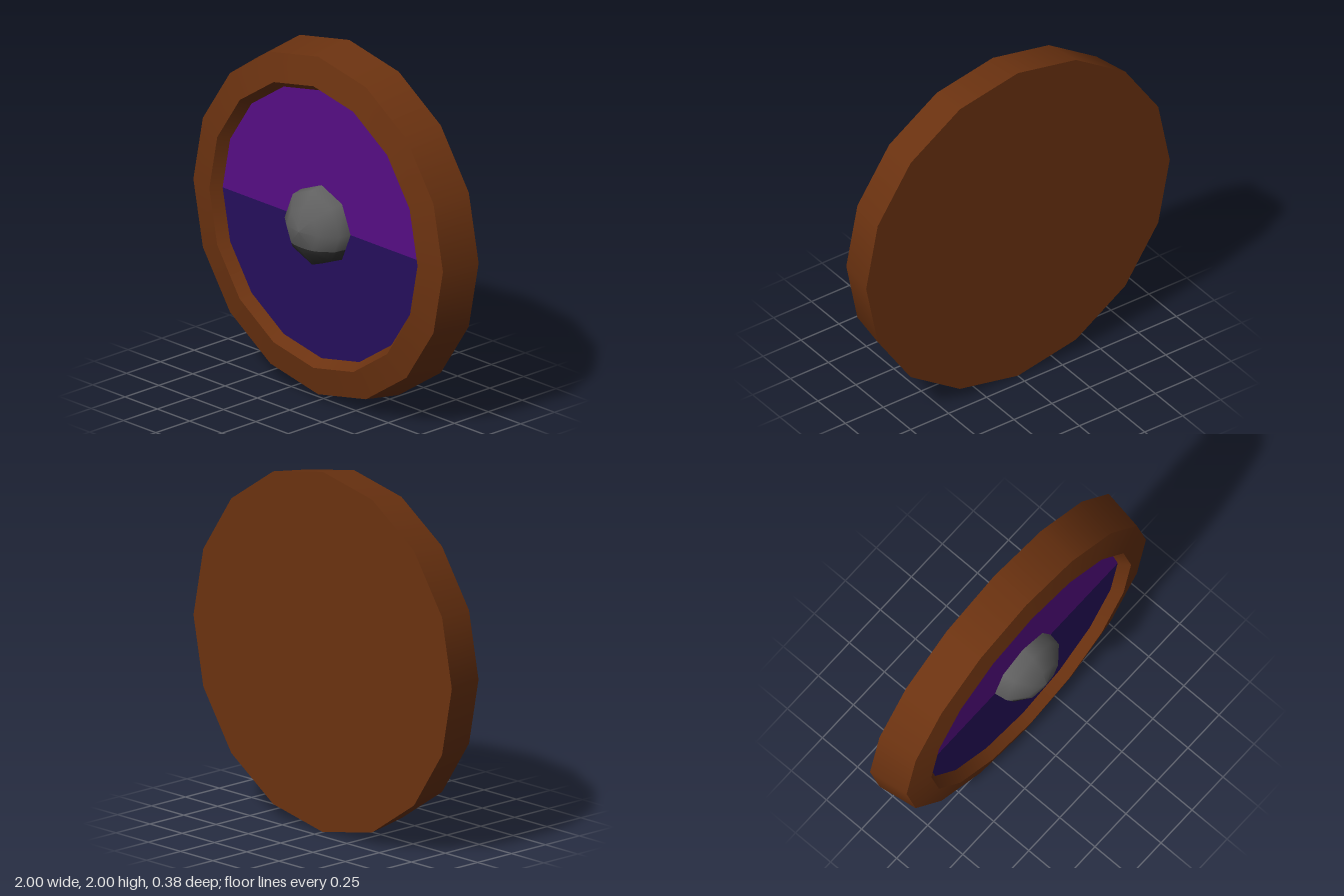
import * as THREE from 'three';
import { mergeGeometries } from 'three/addons/utils/BufferGeometryUtils.js';

const mat = (name, color) => {
  const m = new THREE.MeshStandardMaterial({ color });
  m.name = name;
  return m;
};

// Lathe about the z axis; profile points are [radius, z]
const turn = (points, sides) =>
  new THREE.LatheGeometry(points.map(p => new THREE.Vector2(...p)), sides).rotateX(Math.PI / 2);

// Keep the part of a geometry where sign * (y - cut) >= 0
function clipY(geometry, cut, sign) {
  const g = geometry.toNonIndexed();
  const { position, normal } = g.attributes;
  const pos = [], nor = [];
  for (let t = 0; t < position.count; t += 3) {
    const tri = [0, 1, 2].map(k => ({
      p: new THREE.Vector3().fromBufferAttribute(position, t + k),
      n: new THREE.Vector3().fromBufferAttribute(normal, t + k),
    }));
    const poly = [];
    tri.forEach((a, k) => {
      const b = tri[(k + 1) % 3];
      const da = sign * (a.p.y - cut), db = sign * (b.p.y - cut);
      if (da >= 0) poly.push(a);
      if (da * db < 0) {
        const f = da / (da - db);
        poly.push({ p: a.p.clone().lerp(b.p, f), n: a.n.clone().lerp(b.n, f).normalize() });
      }
    });
    for (let k = 1; k + 1 < poly.length; k++) {
      for (const v of [poly[0], poly[k], poly[k + 1]]) {
        pos.push(...v.p.toArray());
        nor.push(...v.n.toArray());
      }
    }
  }
  const out = new THREE.BufferGeometry();
  out.setAttribute('position', new THREE.Float32BufferAttribute(pos, 3));
  out.setAttribute('normal', new THREE.Float32BufferAttribute(nor, 3));
  return out;
}

export function createModel() {
  const group = new THREE.Group();
  group.name = 'roundShield';
  const add = (name, geometry, material) => {
    const mesh = new THREE.Mesh(geometry, material);
    mesh.name = name;
    mesh.position.y = 1;
    group.add(mesh);
  };

  // Wooden body: back, side, front bevel and inner lip, each with its own sharp edge
  const profile = [[0, -0.19], [1, -0.19], [0.965, 0.04], [0.805, 0.075], [0.765, 0.015]];
  const bands = profile.slice(1).map((p, i) => turn([profile[i], p], 16));
  add('woodenBody', mergeGeometries(bands), mat('brown wood', 0x6b3210));

  // Recessed panel in two painted halves
  const half = start => new THREE.CircleGeometry(0.765, 8, start, Math.PI).translate(0, 0, 0.015);
  add('upperPanel', half(0), mat('purple', 0x560d84));
  add('lowerPanel', half(Math.PI), mat('dark indigo', 0x250f5c));

  // Metal boss with a darker lower part
  const dome = turn([[0.225, 0.01], [0.212, 0.085], [0.12, 0.16], [0, 0.185]], 8);
  add('bossUpper', clipY(dome, -0.095, 1), mat('grey metal', 0x606060));
  add('bossLower', clipY(dome, -0.095, -1), mat('dark metal', 0x303030));

  return group;
}
